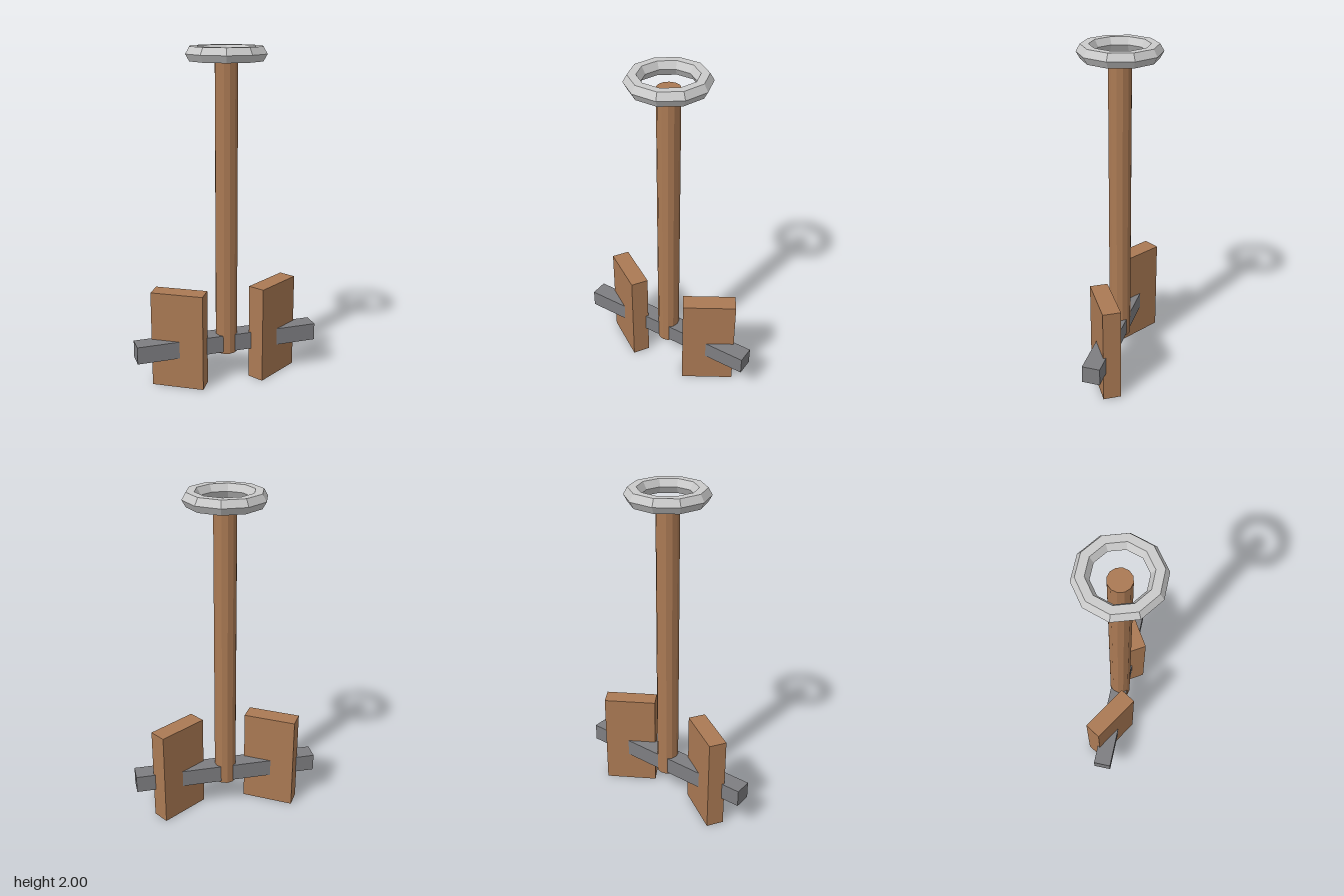
import * as THREE from 'three';

const material = (color) => new THREE.MeshStandardMaterial({ color, flatShading: true });

export function createModel() {
  const model = new THREE.Group();
  model.name = 'model';
  const wood = material(0xab7a54);
  const iron = material(0x7e7e81);
  const steel = material(0xcccccc);

  const add = (name, geometry, mat, x, y, z) => {
    const mesh = new THREE.Mesh(geometry, mat);
    mesh.name = name;
    mesh.position.set(x, y, z);
    model.add(mesh);
    return mesh;
  };

  // Upright twelve-sided post
  const bottom = 0.18, top = 1.925;
  add('post', new THREE.CylinderGeometry(0.066, 0.066, top - bottom, 12), wood, 0, (top + bottom) / 2, 0);

  // Faceted ring around the top of the post
  const ring = new THREE.TorusGeometry(0.189, 0.046, 6, 10).rotateX(Math.PI / 2);
  add('topRing', ring, steel, 0, 1.96, 0);

  // Bar running through the post and both panels
  add('crossbar', new THREE.BoxGeometry(1.126, 0.106, 0.106), iron, 0, 0.243, 0);

  // Angled panels, swept back on either side
  for (const [name, side] of [['leftPanel', 1], ['rightPanel', -1]]) {
    const panel = add(name, new THREE.BoxGeometry(0.317, 0.592, 0.106), wood, side * 0.294, 0.296, 0);
    panel.rotation.y = side * 0.555;
  }

  return model;
}
